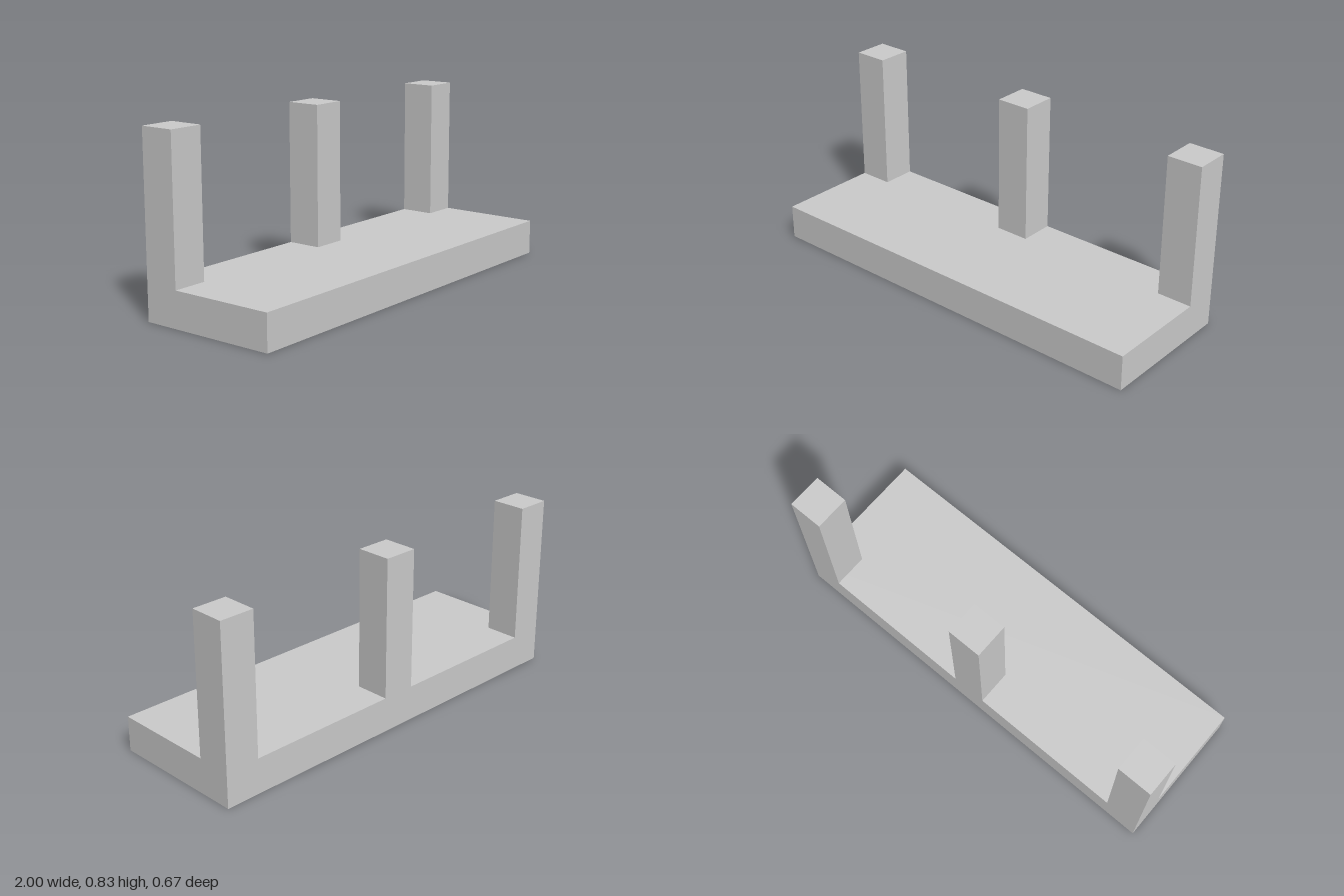
import * as THREE from 'three';

// One grid unit: the base is 12 x 1 x 4 units, each post 1 x 4 x 1
const U = 1 / 6;

export function createModel() {
  const model = new THREE.Group();
  model.name = 'postedBase';
  const material = new THREE.MeshStandardMaterial({ color: 0xcccccc, flatShading: true });

  const addBox = (name, w, h, d, x, bottom, z) => {
    const mesh = new THREE.Mesh(new THREE.BoxGeometry(w, h, d), material);
    mesh.name = name;
    mesh.position.set(x, bottom + h / 2, z);
    model.add(mesh);
  };

  // Flat base slab
  addBox('base', 12 * U, U, 4 * U, 0, 0, 0);

  // Three square posts along the back edge, flush with the ends
  const posts = { rightPost: -1, middlePost: 0, leftPost: 1 };
  for (const [name, side] of Object.entries(posts)) {
    addBox(name, U, 4 * U, U, side * 5.5 * U, U, -1.5 * U);
  }

  return model;
}
